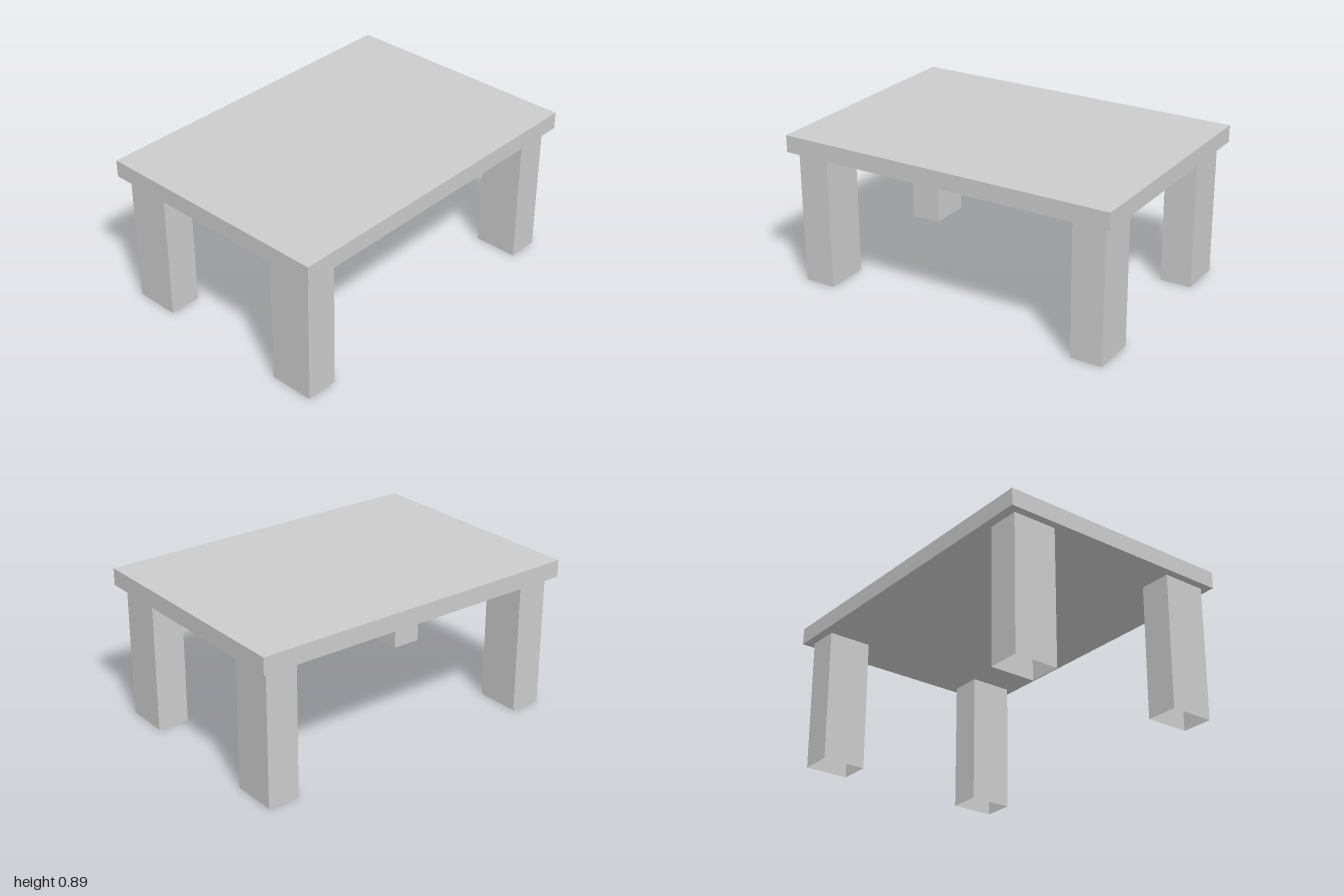
import * as THREE from 'three';

const LEG = { width: 0.187, depth: 0.261, height: 0.787 };
const TOP = { width: 2, depth: 1.414, thickness: 0.099 };

// Square tube, open at both ends, standing on y = 0
function squareTube(width, height, depth) {
  const tube = new THREE.CylinderGeometry(Math.SQRT1_2, Math.SQRT1_2, 1, 4, 1, true)
    .rotateY(Math.PI / 4)
    .scale(width, height, depth)
    .translate(0, height / 2, 0)
    .toNonIndexed();
  tube.computeVertexNormals();
  return tube;
}

export function createModel() {
  const table = new THREE.Group();
  table.name = 'table';

  // Flat slab top
  const topMaterial = new THREE.MeshStandardMaterial({ color: 0xcccccc, flatShading: true });
  const top = new THREE.Mesh(new THREE.BoxGeometry(TOP.width, TOP.thickness, TOP.depth), topMaterial);
  top.name = 'tableTop';
  top.position.y = LEG.height + TOP.thickness / 2;
  table.add(top);

  // Four hollow legs, open at the foot
  const legMaterial = new THREE.MeshStandardMaterial({
    color: 0xcccccc, flatShading: true, side: THREE.DoubleSide,
  });
  const legGeometry = squareTube(LEG.width, LEG.height, LEG.depth);
  for (const [endName, z] of [['front', 0.528], ['back', -0.525]]) {
    for (const [sideName, x] of [['Left', 0.859], ['Right', -0.861]]) {
      const leg = new THREE.Mesh(legGeometry, legMaterial);
      leg.name = `${endName}${sideName}Leg`;
      leg.position.set(x, 0, z);
      table.add(leg);
    }
  }

  return table;
}
